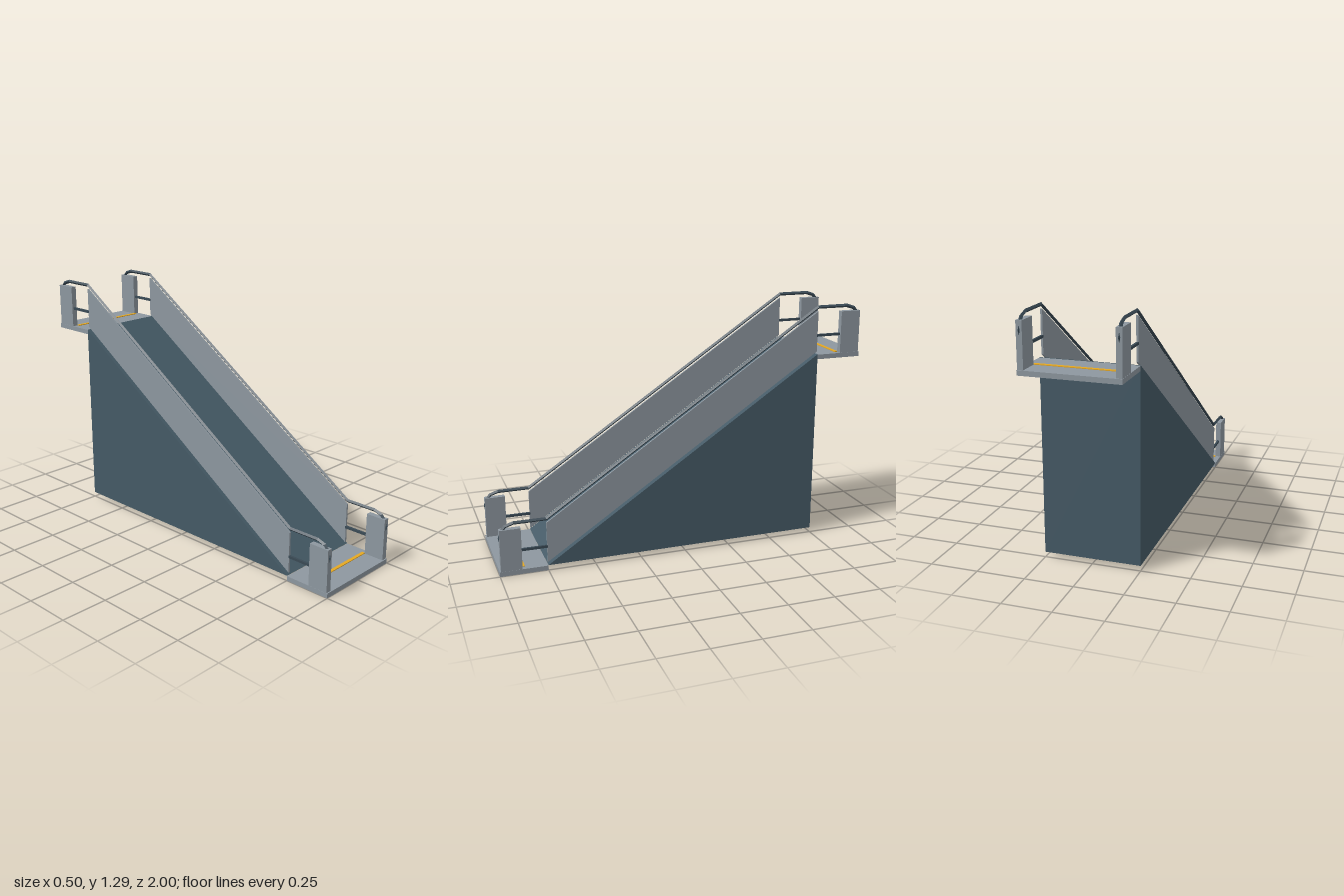
import * as THREE from 'three';

const mat = (color, extra = {}) => new THREE.MeshStandardMaterial({ color, flatShading: true, ...extra });
const dark = mat(0x455a66);
const railMat = mat(0x3a4a55);
const grey = mat(0x8d979f);
const yellow = mat(0xe5a823);

const RISE = 1;      // height between the two landings
const SIDE_X = 0.234; // centre line of each balustrade

function add(parent, name, geometry, material, x = 0, y = 0, z = 0) {
  const mesh = new THREE.Mesh(geometry, material);
  mesh.name = name;
  mesh.position.set(x, y, z);
  parent.add(mesh);
  return mesh;
}

// Extrudes a side outline of [z, y] corners across x, centred on x = 0
function sideProfile(corners, width) {
  const shape = new THREE.Shape(corners.map(([z, y]) => new THREE.Vector2(-z, y)));
  return new THREE.ExtrudeGeometry(shape, { depth: width, bevelEnabled: false })
    .translate(0, 0, -width / 2)
    .rotateY(Math.PI / 2);
}

// Curve that passes exactly through its points, so bends stay crisp
class Polyline extends THREE.Curve {
  constructor(points) {
    super();
    this.points = points;
  }
  getPoint(t, target = new THREE.Vector3()) {
    const n = this.points.length - 1;
    const i = Math.min(Math.floor(t * n + 1e-6), n - 1);
    return target.lerpVectors(this.points[i], this.points[i + 1], t * n - i);
  }
  getPointAt(t, target) {
    return this.getPoint(t, target);
  }
  getTangentAt(t, target = new THREE.Vector3()) {
    const p = this.points, n = p.length - 1, i = Math.round(t * n);
    target.set(0, 0, 0);
    if (i > 0) target.add(p[i].clone().sub(p[i - 1]).normalize());
    if (i < n) target.add(p[i + 1].clone().sub(p[i]).normalize());
    return target.normalize();
  }
}

// Four-sided handrail that curls into the post at both ends
function handrailGeometry() {
  const end = [[0.955, 0.13], [0.98, 0.165], [0.99, 0.205], [0.982, 0.24], [0.962, 0.265], [0.92, 0.279], [0.75, 0.279]];
  const points = end.map(([z, y]) => new THREE.Vector3(0, y, z));
  for (const [z, y] of [...end].reverse()) points.push(new THREE.Vector3(0, y + RISE, -z));
  return new THREE.TubeGeometry(new Polyline(points), points.length - 1, 0.0095, 4, false);
}

export function createModel() {
  const model = new THREE.Group();
  model.name = 'escalator';

  // Solid truss with the sloping ramp as its upper face
  add(model, 'ramp', sideProfile([[0.75, 0.027], [-0.75, 0.027], [-0.75, 1.027]], 0.5), dark);

  // Lower and upper landings with a warning stripe and end posts
  for (const [label, base, dir] of [['lower', 0, 1], ['upper', RISE, -1]]) {
    const landing = new THREE.Group();
    landing.name = label + 'Landing';
    model.add(landing);
    add(landing, 'platform', new THREE.BoxGeometry(0.5, 0.025, 0.25), grey, 0, base + 0.0125, dir * 0.875);
    add(landing, 'warningStripe', new THREE.BoxGeometry(0.44, 0.006, 0.018), yellow, 0, base + 0.026, dir * 0.876);
    for (const side of [-1, 1]) {
      const x = side * SIDE_X;
      add(landing, 'post', new THREE.BoxGeometry(0.03, 0.227, 0.11), grey, x, base + 0.1375, dir * 0.939);
      add(landing, 'crossBar', new THREE.BoxGeometry(0.012, 0.013, 0.15), railMat, x, base + 0.127, dir * 0.822);
    }
  }

  // Sloping side panels and handrails
  const panel = sideProfile([[0.75, 0.04], [0.75, 0.258], [-0.75, 1.258], [-0.75, 1.04]], 0.01);
  const rail = handrailGeometry();
  for (const side of [-1, 1]) {
    const balustrade = new THREE.Group();
    balustrade.name = side < 0 ? 'rightBalustrade' : 'leftBalustrade';
    balustrade.position.x = side * SIDE_X;
    model.add(balustrade);
    add(balustrade, 'sidePanel', panel, grey);
    add(balustrade, 'handrail', rail, railMat);
  }
  return model;
}
